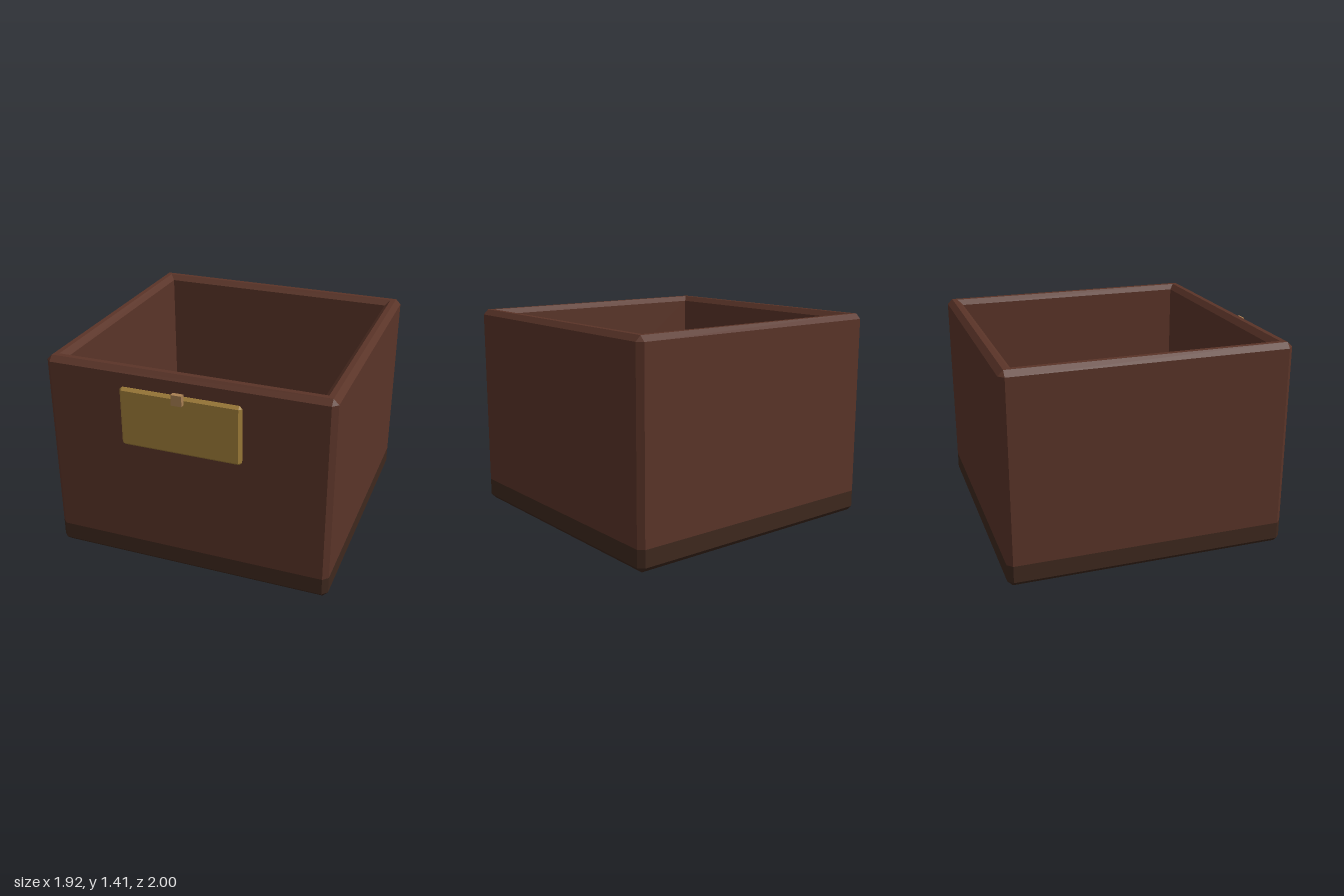
import * as THREE from 'three';

// Corner points of a rectangle with cut corners, counter-clockwise seen from above
function ring([hw, hd, cut, y]) {
  const a = hw - cut, b = hd - cut;
  return [
    [hw, b], [hw, -b], [a, -hd], [-a, -hd],
    [-hw, -b], [-hw, b], [-a, hd], [a, hd],
  ].map(([x, z]) => new THREE.Vector3(x, y, z));
}

// Flat-faced skin through a stack of rings [halfWidth, halfDepth, cornerCut, y]
function loft(sections, capped) {
  const rings = sections.map(ring);
  const points = [];
  const tri = (a, b, c) => {
    const area = b.clone().sub(a).cross(c.clone().sub(a)).length();
    if (area > 1e-9) points.push(a, b, c);
  };
  for (let i = 0; i < rings.length - 1; i++) {
    for (let j = 0; j < 8; j++) {
      const k = (j + 1) % 8;
      const lo = rings[i], hi = rings[i + 1];
      tri(lo[j], lo[k], hi[k]);
      tri(lo[j], hi[k], hi[j]);
    }
  }
  if (capped) {
    const lo = rings[0], hi = rings[rings.length - 1];
    for (let j = 1; j < 7; j++) {
      tri(lo[0], lo[j + 1], lo[j]);
      tri(hi[0], hi[j], hi[j + 1]);
    }
  }
  const geometry = new THREE.BufferGeometry().setFromPoints(points);
  geometry.computeVertexNormals();
  return geometry;
}

export function createModel() {
  const group = new THREE.Group();
  const add = (name, geometry, color, x, y, z) => {
    const material = new THREE.MeshStandardMaterial({ color, flatShading: true });
    const mesh = new THREE.Mesh(geometry, material);
    mesh.name = name;
    mesh.position.set(x, y, z);
    group.add(mesh);
    return mesh;
  };

  const W = 0.96, D = 0.945, H = 1.41, C = 0.035, FLOOR = 0.15, BACK = -0.055;

  // Dark base slab, its top is the floor of the box
  add('base', loft([
    [W - C, D - C, 0, 0],
    [W, D, C, C],
    [W, D, C, FLOOR],
  ], true), 0x3e281e, 0, 0, BACK);

  // Walls: up the outside, over the bevelled rim, down the inside
  add('walls', loft([
    [W, D, C, FLOOR],
    [W, D, C, H - C],
    [W - C, D - C, 0, H],
    [W - 2 * C, D - 2 * C, 0, H],
    [W - 3 * C, D - 3 * C, 0, H - C],
    [W - 3 * C, D - 3 * C, 0, FLOOR],
  ], false), 0x5a3428, 0, 0, BACK);

  // Bevelled front plate, standing just off the front wall
  const plate = add('frontPlate', loft([
    [0.385, 0.182, 0, -0.021],
    [0.403, 0.2, 0.018, -0.002],
    [0.403, 0.2, 0.018, 0.002],
    [0.385, 0.182, 0, 0.021],
  ], true), 0xa07d3a, 0, 1.113, 0.947);
  plate.rotation.x = Math.PI / 2;

  // Small catch on the plate's top edge
  add('catch', new THREE.BoxGeometry(0.07, 0.07, 0.034), 0xa87f52, 0, 1.303, 0.983);

  return group;
}
